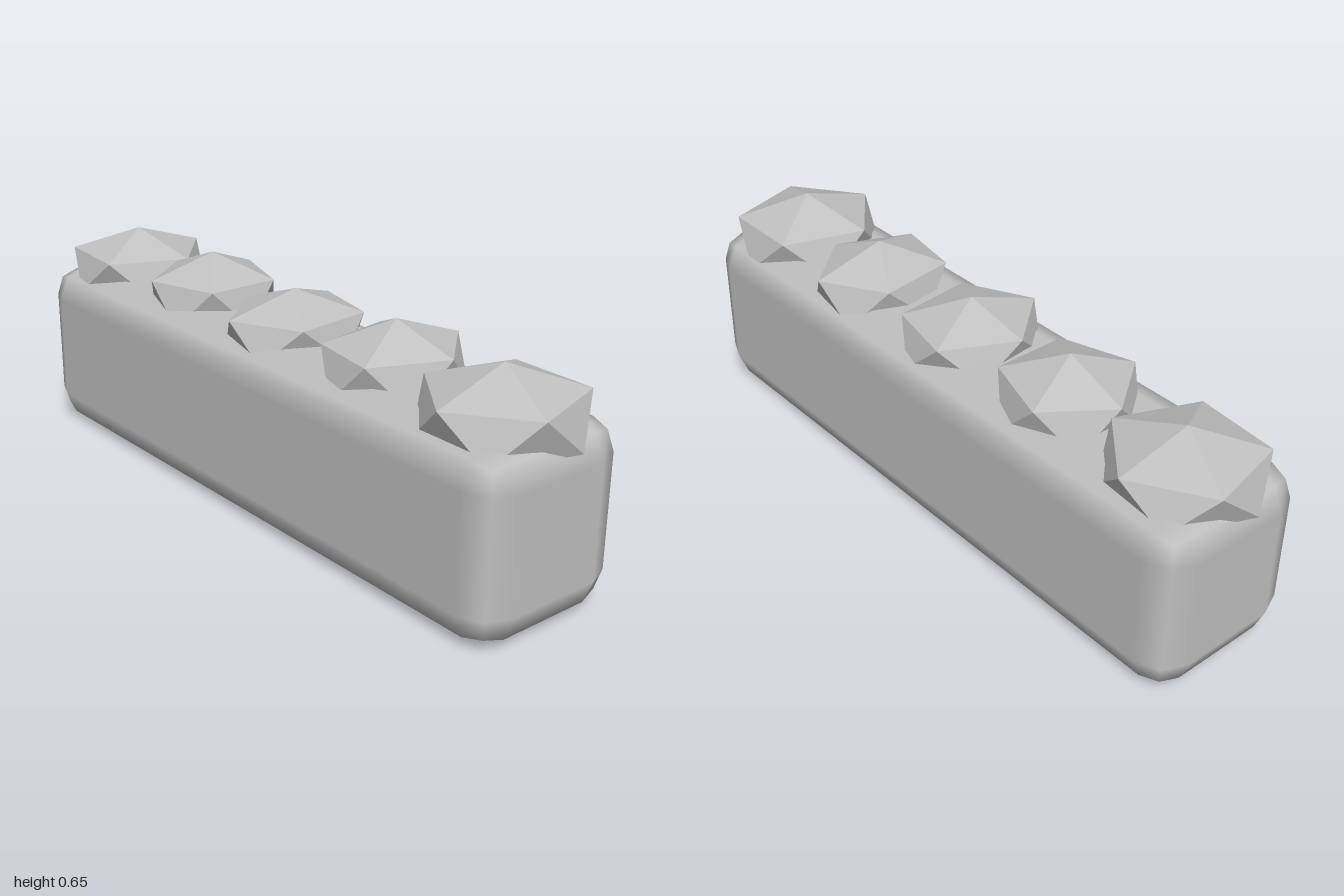
import * as THREE from 'three';
import { RoundedBoxGeometry } from 'three/addons/geometries/RoundedBoxGeometry.js';

const stoneGrey = new THREE.MeshStandardMaterial({ color: 0xc0c0c0 });
stoneGrey.name = 'stoneGrey';

// Squashed icosahedron standing on a vertex; angle is the heading of one upper-ring corner.
function rockGeometry(rx, ry, rz, angle) {
  const g = new THREE.IcosahedronGeometry(1, 0);
  g.rotateZ(Math.atan(2 / (1 + Math.sqrt(5))));
  g.rotateY(THREE.MathUtils.degToRad(180 - angle));
  const ring = 2 / Math.sqrt(5);
  g.scale(rx / ring, ry, rz / ring);
  g.computeVertexNormals();
  return g;
}

export function createModel() {
  const model = new THREE.Group();
  model.name = 'stoneWall';

  // Bevelled block with smooth edges
  const block = new THREE.Mesh(new RoundedBoxGeometry(2, 0.52, 0.48, 1, 0.1), stoneGrey);
  block.name = 'wallBlock';
  block.position.y = 0.26;
  model.add(block);

  // Row of half-sunk rocks: x, z, x radius, height, z radius, heading
  const rocks = [
    [-0.8, 0, 0.21, 0.122, 0.21, -85],
    [-0.4, -0.005, 0.19, 0.13, 0.19, 180],
    [0, 0, 0.185, 0.115, 0.205, 101],
    [0.4, -0.015, 0.18, 0.13, 0.205, -82],
    [0.795, 0, 0.212, 0.13, 0.22, 90],
  ];
  rocks.forEach(([x, z, rx, ry, rz, angle], i) => {
    const rock = new THREE.Mesh(rockGeometry(rx, ry, rz, angle), stoneGrey);
    rock.name = `topRock${i + 1}`;
    rock.position.set(x, 0.52, z);
    model.add(rock);
  });

  return model;
}
